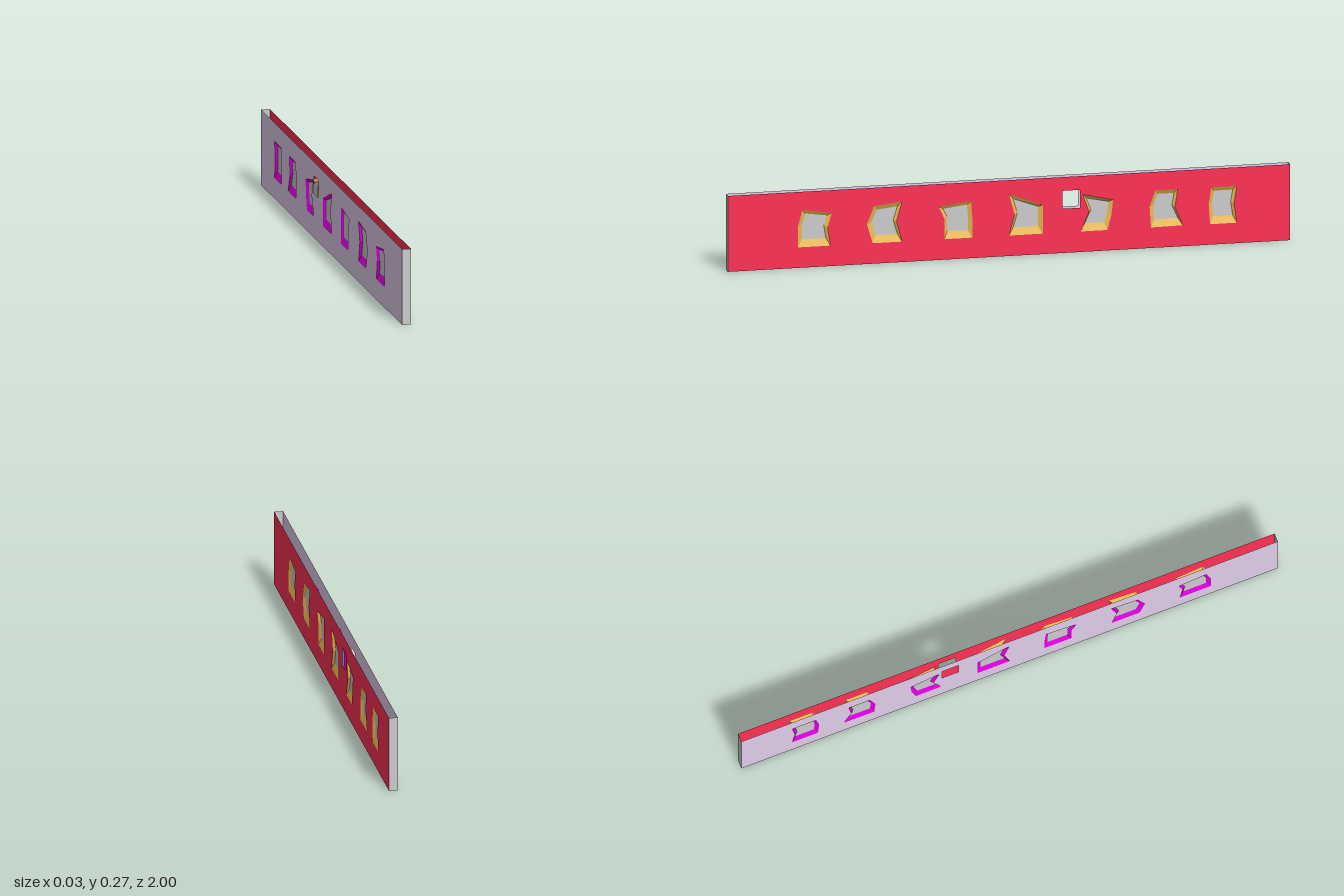
import * as THREE from 'three';

const HALF = 0.0155;    // half the thickness
const HEIGHT = 0.271;
const RECESS = 0.008;   // depth of the panes behind the wall

const mat = (color) => new THREE.MeshStandardMaterial({ color, side: THREE.DoubleSide, flatShading: true });

// Crooked window outlines as [z, y], counter-clockwise seen from +x
const windows = [
  [[0.75, 0.073], [0.635, 0.073], [0.645, 0.14], [0.63, 0.19], [0.735, 0.206], [0.75, 0.147]],
  [[0.485, 0.073], [0.38, 0.073], [0.4, 0.147], [0.38, 0.217], [0.48, 0.205], [0.505, 0.142]],
  [[0.23, 0.073], [0.13, 0.073], [0.13, 0.14], [0.135, 0.205], [0.25, 0.19], [0.23, 0.147]],
  [[0, 0.073], [-0.12, 0.073], [-0.12, 0.12], [-0.12, 0.175], [0, 0.222], [-0.02, 0.147]],
  [[-0.255, 0.073], [-0.35, 0.073], [-0.365, 0.13], [-0.37, 0.18], [-0.262, 0.205], [-0.285, 0.142]],
  [[-0.505, 0.073], [-0.618, 0.075], [-0.59, 0.142], [-0.6, 0.205], [-0.52, 0.205], [-0.5, 0.147]],
  [[-0.715, 0.073], [-0.81, 0.073], [-0.8, 0.142], [-0.81, 0.205], [-0.72, 0.205], [-0.71, 0.147]],
];
const opening = [[-0.19, 0.158], [-0.253, 0.158], [-0.253, 0.222], [-0.19, 0.222]];

const toPoints = (outline) => outline.map(([z, y]) => new THREE.Vector2(-z, y));

// Shrinks an outline to the pane, leaving a deeper sill at the bottom
function paneOutline(outline) {
  const cz = outline.reduce((sum, p) => sum + p[0], 0) / outline.length;
  return outline.map(([z, y]) => [cz + (z - cz) * 0.74, 0.146 + (y - 0.141) * 0.69]);
}

// Flat sheet in the plane of the wall
function sheet(shape, x) {
  return new THREE.ShapeGeometry(shape).rotateY(Math.PI / 2).translate(x, 0, 0);
}

// Sloping frame between the wall outline and the recessed pane
function frameGeometry(outer, inner, xOuter, xInner) {
  const pos = [];
  outer.forEach((a, i) => {
    const j = (i + 1) % outer.length;
    const A = [xOuter, a[1], a[0]], B = [xOuter, outer[j][1], outer[j][0]];
    const C = [xInner, inner[j][1], inner[j][0]], D = [xInner, inner[i][1], inner[i][0]];
    const quad = xOuter > 0 ? [A, B, C, A, C, D] : [A, C, B, A, D, C];
    pos.push(...quad.flat());
  });
  const g = new THREE.BufferGeometry();
  g.setAttribute('position', new THREE.Float32BufferAttribute(pos, 3));
  g.computeVertexNormals();
  return g;
}

export function createModel() {
  const group = new THREE.Group();
  const grey = mat(0xcccccc);
  const add = (name, geometry, material) => {
    const mesh = new THREE.Mesh(geometry, material);
    mesh.name = name;
    group.add(mesh);
  };

  const sides = [
    { s: 1, name: 'left', wall: mat(0xff3055), frame: mat(0xecbc50) },
    { s: -1, name: 'right', wall: mat(0xdfcde9), frame: mat(0xe000e0) },
  ];
  for (const { s, name, wall, frame } of sides) {
    // Wall with window holes and the small square opening
    const shape = new THREE.Shape(toPoints([[1, 0], [-1, 0], [-1, HEIGHT], [1, HEIGHT]]));
    shape.holes = [...windows, opening].map((o) => new THREE.Path(toPoints(o)));
    add(name + 'Wall', sheet(shape, s * HALF), wall);

    // Recessed windows
    windows.forEach((outer, i) => {
      const inner = paneOutline(outer);
      const xPane = s * (HALF - RECESS);
      add(`${name}WindowFrame${i + 1}`, frameGeometry(outer, inner, s * HALF, xPane), frame);
      add(`${name}WindowPane${i + 1}`, sheet(new THREE.Shape(toPoints(inner)), xPane), grey);
    });
  }

  // End caps; the top and bottom stay open
  for (const s of [1, -1]) {
    const cap = new THREE.PlaneGeometry(HALF * 2, HEIGHT);
    if (s < 0) cap.rotateY(Math.PI);
    add(s > 0 ? 'frontEnd' : 'backEnd', cap.translate(0, HEIGHT / 2, s), grey);
  }
  return group;
}
